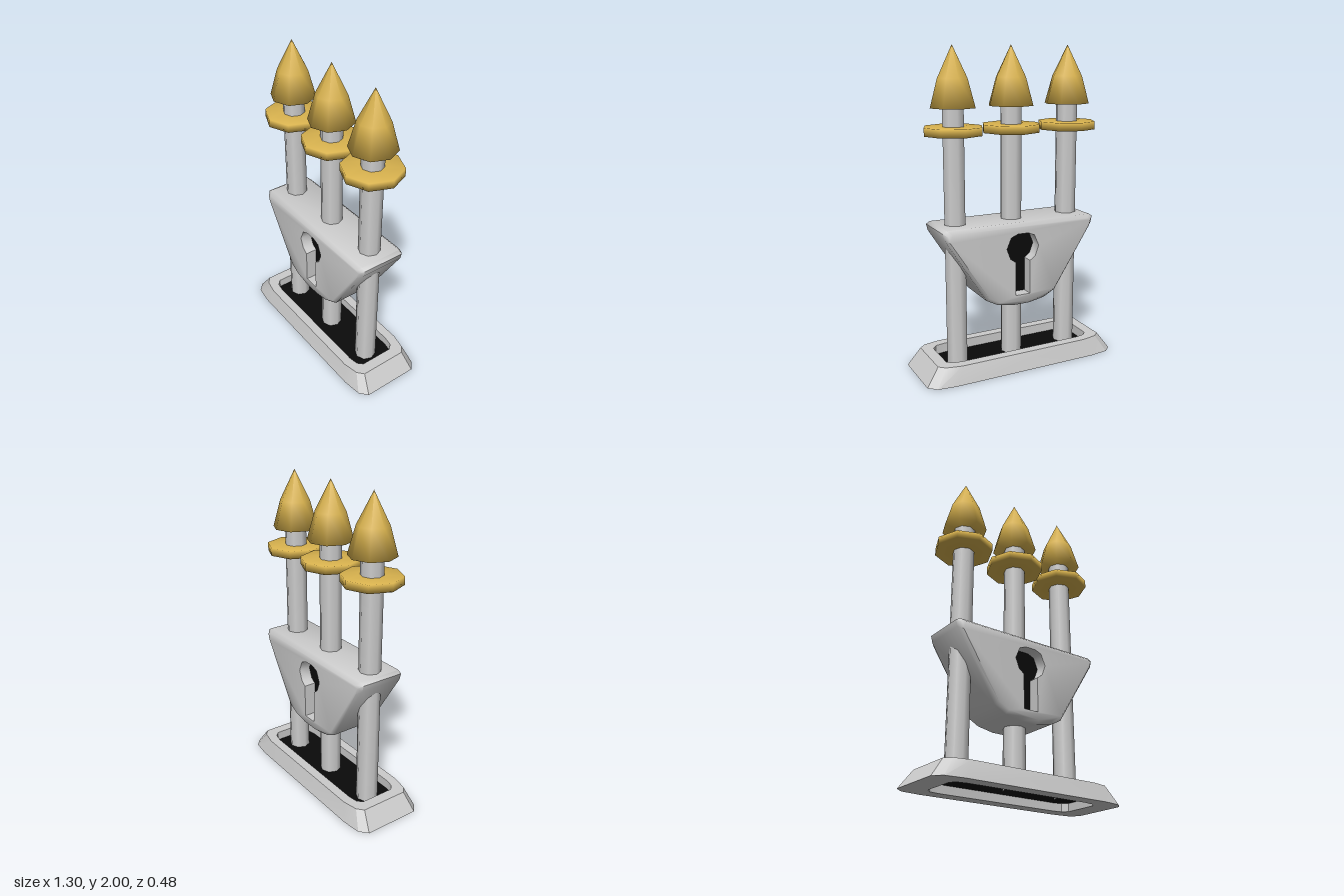
import * as THREE from 'three';
import { mergeGeometries, toCreasedNormals } from 'three/addons/utils/BufferGeometryUtils.js';

const grey = new THREE.MeshStandardMaterial({ color: 0xcccccc });
const gold = new THREE.MeshStandardMaterial({ color: 0xd8b24e });
const black = new THREE.MeshStandardMaterial({ color: 0x0a0a0a, side: THREE.DoubleSide });

// Mirror the right half of an outline (listed bottom to top) across x = 0.
function mirrorX(half) {
  return [...half, ...half.map(([x, y]) => [-x, y]).reverse()];
}

// Skin a series of equal-length outlines, each placed at its own depth.
function loft(sections) {
  const pos = [];
  const put = ([pts, z], i) => {
    const p = pts[i % pts.length];
    pos.push(p[0], p[1], z);
  };
  for (let s = 0; s < sections.length - 1; s++) {
    const a = sections[s], b = sections[s + 1];
    for (let i = 0; i < a[0].length; i++) {
      put(a, i); put(b, i); put(a, i + 1);
      put(a, i + 1); put(b, i); put(b, i + 1);
    }
  }
  const geo = new THREE.BufferGeometry();
  geo.setAttribute('position', new THREE.Float32BufferAttribute(pos, 3));
  return geo;
}

// Flat face with an optional hole, positions only.
function face(outline, z, hole) {
  const toVec = (pts) => pts.map(([x, y]) => new THREE.Vector2(x, y));
  const shape = new THREE.Shape(toVec(outline));
  if (hole) shape.holes.push(new THREE.Path(toVec(hole)));
  const geo = new THREE.ShapeGeometry(shape).toNonIndexed().translate(0, 0, z);
  geo.deleteAttribute('uv');
  geo.deleteAttribute('normal');
  return geo;
}

function mesh(name, geo, mat) {
  const m = new THREE.Mesh(geo, mat);
  m.name = name;
  return m;
}

// Sloped base frame with an open slot and a dark plate inside it.
function makeBase() {
  const group = new THREE.Group();
  group.name = 'base';
  const ring = (half) => mirrorX([...half.map(([x, z]) => [x, -z]), ...[...half].reverse()]);
  const bottom = ring([[0.48, 0.24], [0.6, 0.225], [0.65, 0.18]]);
  const top = ring([[0.43, 0.21], [0.53, 0.19], [0.57, 0.155]]);
  const slot = ring([[0.41, 0.15], [0.47, 0.14], [0.5, 0.11]]);
  const frame = loft([[top, 0.11], [bottom, 0], [slot, 0], [slot, 0.11], [top, 0.11]]);
  frame.rotateX(-Math.PI / 2);
  group.add(mesh('baseFrame', toCreasedNormals(frame, 0.5), grey));
  const plate = face(slot, 0.05).rotateX(-Math.PI / 2);
  plate.computeVertexNormals();
  group.add(mesh('slotPlate', plate, black));
  return group;
}

// Tapered lock body with a keyhole recess on both sides.
function makeLock() {
  const group = new THREE.Group();
  group.name = 'lock';
  const outline = mirrorX([[0.06, 0.41], [0.165, 0.43], [0.24, 0.47],
    [0.505, 0.885], [0.515, 0.925], [0.49, 0.94]]);
  const inset = outline.map(([x, y]) => [x * 0.945, 0.68 + (y - 0.68) * 0.92]);
  const keyhole = mirrorX([[0.05, 0.48], [0.05, 0.695], [0.085, 0.72],
    [0.11, 0.785], [0.08, 0.855], [0.035, 0.873]]);
  const half = 0.165, edge = 0.14, floor = 0.09;

  const rim = loft([[inset, half], [outline, edge], [outline, -edge], [inset, -half]]);
  const front = mergeGeometries([face(inset, half, keyhole),
    loft([[keyhole, floor], [keyhole, half]])]);
  const back = front.clone().rotateY(Math.PI);
  group.add(mesh('lockBody', toCreasedNormals(mergeGeometries([rim, front, back]), 0.95), grey));

  for (const side of [0, 1]) {
    const plate = face(keyhole, floor).rotateY(side * Math.PI);
    plate.computeVertexNormals();
    group.add(mesh(side ? 'backKeyhole' : 'frontKeyhole', plate, black));
  }
  return group;
}

// Upright bar with an eight-sided collar and a pointed finial.
function makeBar(x) {
  const group = new THREE.Group();
  group.name = 'bar';
  group.position.x = x;
  const lathe = (pts) => new THREE.LatheGeometry(pts.map(([r, y]) => new THREE.Vector2(r, y)), 8);
  const rod = new THREE.CylinderGeometry(0.068, 0.068, 1.61, 8, 1, true).translate(0, 0.845, 0);
  group.add(mesh('rod', rod, grey));
  group.add(mesh('collar', lathe([[0.06, 1.48], [0.183, 1.48], [0.183, 1.53], [0.06, 1.53]]), gold));
  group.add(mesh('spearTip', lathe([[0, 1.64], [0.143, 1.64], [0.095, 1.81], [0, 2]]), gold));
  return group;
}

export function createModel() {
  const model = new THREE.Group();
  model.name = 'gateLock';
  model.add(makeBase(), makeLock());
  for (const x of [-0.395, 0, 0.38]) model.add(makeBar(x));
  return model;
}
